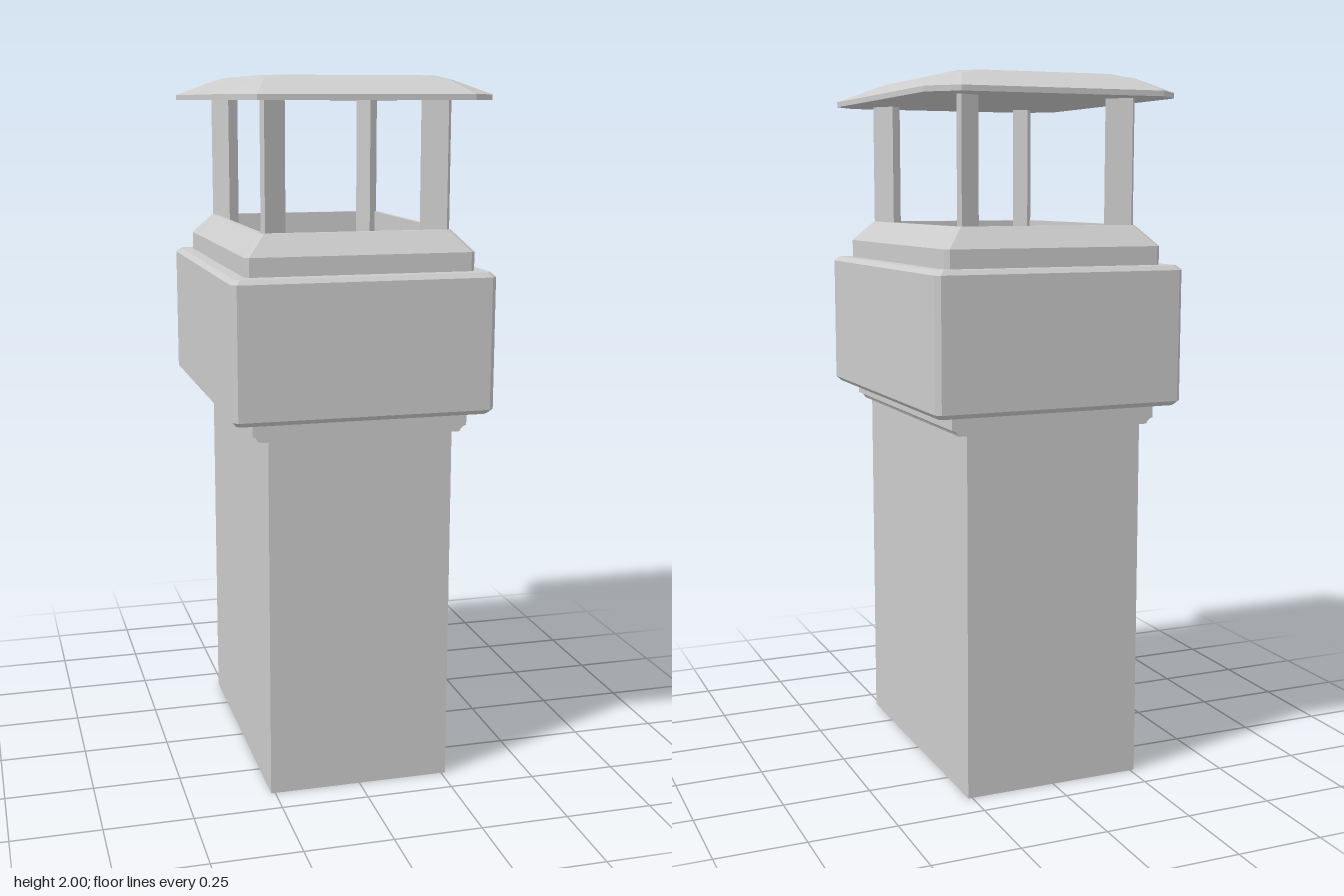
import * as THREE from 'three';

const material = new THREE.MeshStandardMaterial({ color: 0xcccccc, flatShading: true });

// Eight-sided ring: half width w, half depth d, corners cut by cx and cz, at height y.
function ring([y, w, d, cx, cz = cx]) {
  const quarter = [[w, d - cz], [w - cx, d]];
  const [a, b] = quarter;
  return [a, b, [-b[0], b[1]], [-a[0], a[1]], [-a[0], -a[1]], [-b[0], -b[1]], [b[0], -b[1]], [a[0], -a[1]]]
    .map(([x, z]) => new THREE.Vector3(x, y, z));
}

// Skin joining rings in order, capped at the first and last ring.
function loft(sections) {
  const rings = sections.map(ring);
  const points = [];
  const cap = (r, up) => {
    const centre = new THREE.Vector3(0, r[0].y, 0);
    r.forEach((p, i) => {
      const q = r[(i + 1) % 8];
      points.push(centre, ...(up ? [q, p] : [p, q]));
    });
  };
  cap(rings[0], false);
  for (let k = 0; k < rings.length - 1; k++) {
    for (let i = 0; i < 8; i++) {
      const j = (i + 1) % 8;
      const [a, b, c, d] = [rings[k][i], rings[k][j], rings[k + 1][j], rings[k + 1][i]];
      points.push(a, d, c, a, c, b);
    }
  }
  cap(rings[rings.length - 1], true);
  const geometry = new THREE.BufferGeometry().setFromPoints(points);
  geometry.computeVertexNormals();
  return geometry;
}

export function createModel() {
  const model = new THREE.Group();
  model.name = 'chimney';
  const add = (name, geometry) => {
    const mesh = new THREE.Mesh(geometry, material);
    mesh.name = name;
    model.add(mesh);
    return mesh;
  };

  // Plain rectangular stack
  add('shaft', new THREE.BoxGeometry(0.524, 1.09, 0.82).translate(0, 0.545, 0));

  // Moulded ledge under the block, on the two long sides only
  for (const s of [1, -1]) {
    const profile = new THREE.Shape();
    profile.moveTo(0.25, 1.03);
    profile.lineTo(0.285, 1.03);
    profile.quadraticCurveTo(0.292, 1.045, 0.305, 1.047);
    profile.lineTo(0.305, 1.095);
    profile.lineTo(0.25, 1.095);
    const ledge = add(s > 0 ? 'leftLedge' : 'rightLedge',
      new THREE.ExtrudeGeometry(profile, { depth: 0.82, bevelEnabled: false, curveSegments: 4 })
        .translate(0, 0, -0.41));
    if (s < 0) ledge.rotation.y = Math.PI;
  }

  // Wide block with bevelled edges
  add('block', loft([
    [1.085, 0.355, 0.45, 0.012],
    [1.098, 0.368, 0.462, 0.014],
    [1.465, 0.368, 0.462, 0.014],
    [1.478, 0.355, 0.45, 0.012],
  ]));

  // Stepped collar with a sloping rim and a hollow flue
  add('collar', loft([
    [1.47, 0.322, 0.412, 0.012],
    [1.53, 0.322, 0.412, 0.012],
    [1.588, 0.268, 0.362, 0.01],
    [1.588, 0.255, 0.349, 0.01],
    [1.5, 0.255, 0.349, 0.01],
    [1.375, 0.255, 0.349, 0.01],
  ]));

  // Wedge-shaped posts pointing out to the corners
  const posts = new THREE.Group();
  posts.name = 'posts';
  model.add(posts);
  for (const sx of [1, -1]) {
    for (const sz of [1, -1]) {
      const section = new THREE.Shape([[0.265, 0.35], [0.255, 0.36], [0.19, 0.32], [0.225, 0.285]]
        .map(([x, z]) => new THREE.Vector2(x * sx, -z * sz)));
      const geometry = new THREE.ExtrudeGeometry(section, { depth: 0.565, bevelEnabled: false });
      const post = new THREE.Mesh(geometry.rotateX(-Math.PI / 2).translate(0, 1.375, 0), material);
      post.name = (sz > 0 ? 'front' : 'back') + (sx > 0 ? 'Left' : 'Right') + 'Post';
      posts.add(post);
    }
  }

  // Hipped rain cap with cut corners
  add('rainCap', loft([
    [1.935, 0.368, 0.462, 0.073],
    [1.95, 0.368, 0.462, 0.073],
    [1.988, 0.27, 0.365, 0.015, 0.02],
    [2.0, 0.24, 0.335, 0.05],
  ]));

  return model;
}
